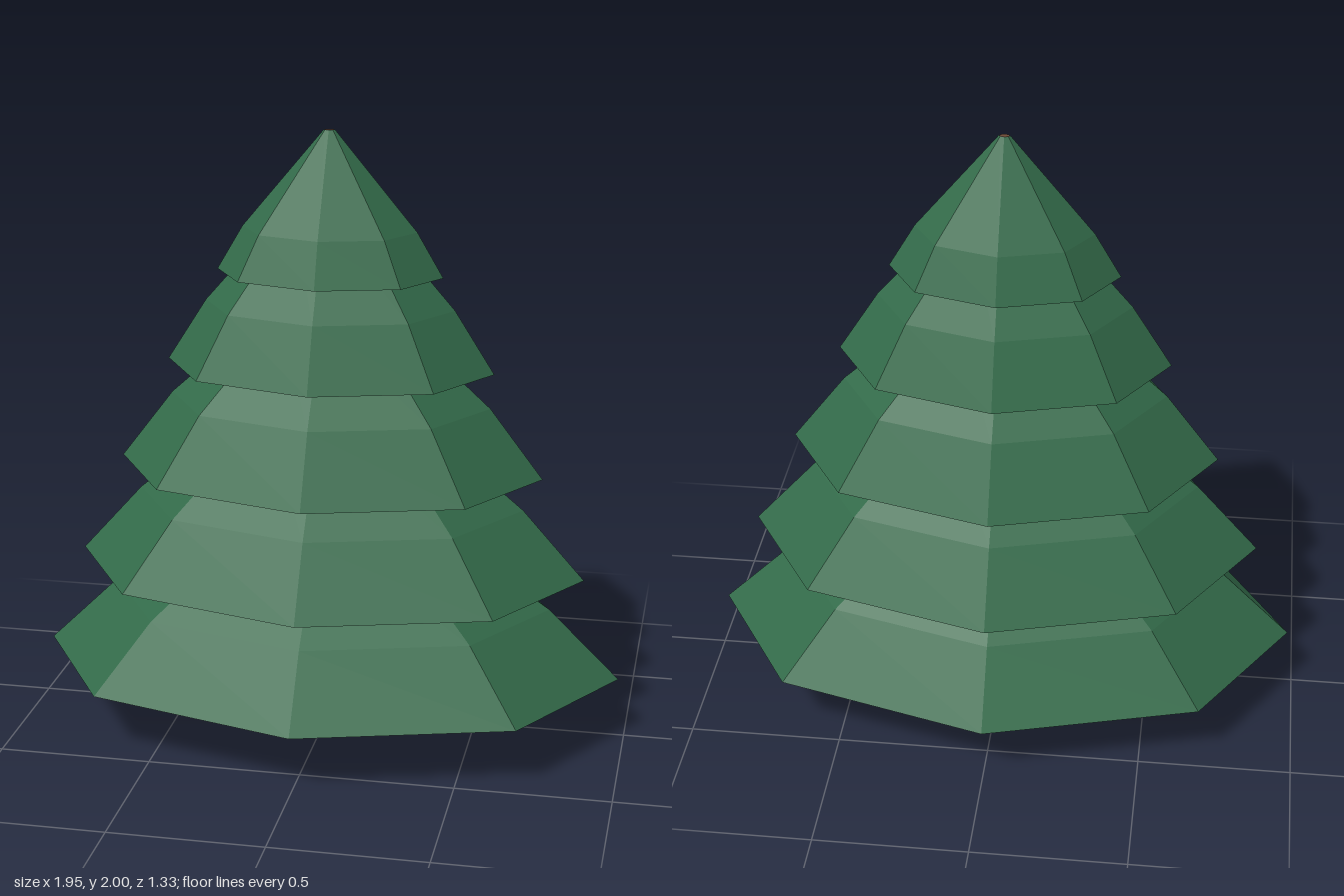
import * as THREE from 'three';

const DEPTH = 0.68; // the whole tree is narrower front to back

// [rim radius, rim y, knee radius, knee y, top radius, top y]
const TIERS = [
  [0.975, 0.2, 0.74, 0.43, 0.3, 0.73],
  [0.85, 0.54, 0.645, 0.77, 0.26, 1.09],
  [0.705, 0.88, 0.53, 1.11, 0.2, 1.41],
  [0.54, 1.225, 0.41, 1.43, 0.14, 1.74],
  [0.37, 1.535, 0.285, 1.68, 0.018, 2],
];

export function createModel() {
  const tree = new THREE.Group();
  tree.name = 'pineTree';

  const needles = new THREE.MeshStandardMaterial({ color: 0x336b4a, flatShading: true });
  needles.name = 'needle green';
  const bark = new THREE.MeshStandardMaterial({ color: 0x6b4a37, flatShading: true });
  bark.name = 'bark brown';

  // Tapering trunk, running up to the tip
  const trunk = new THREE.Mesh(
    new THREE.CylinderGeometry(0.016, 0.2, 2, 10, 1, false, Math.PI / 2), bark);
  trunk.name = 'trunk';
  trunk.position.y = 1;
  trunk.scale.z = DEPTH;
  tree.add(trunk);

  // Eight-sided skirts of branches with a closed underside and a knee
  TIERS.forEach(([rimR, rimY, kneeR, kneeY, topR, topY], i) => {
    const profile = [[0, rimY], [rimR, rimY], [kneeR, kneeY], [topR, topY]]
      .map(([r, y]) => new THREE.Vector2(r, y));
    const tier = new THREE.Mesh(new THREE.LatheGeometry(profile, 8), needles);
    tier.name = `branchTier${i + 1}`;
    tier.scale.z = DEPTH;
    tree.add(tier);
  });

  return tree;
}
